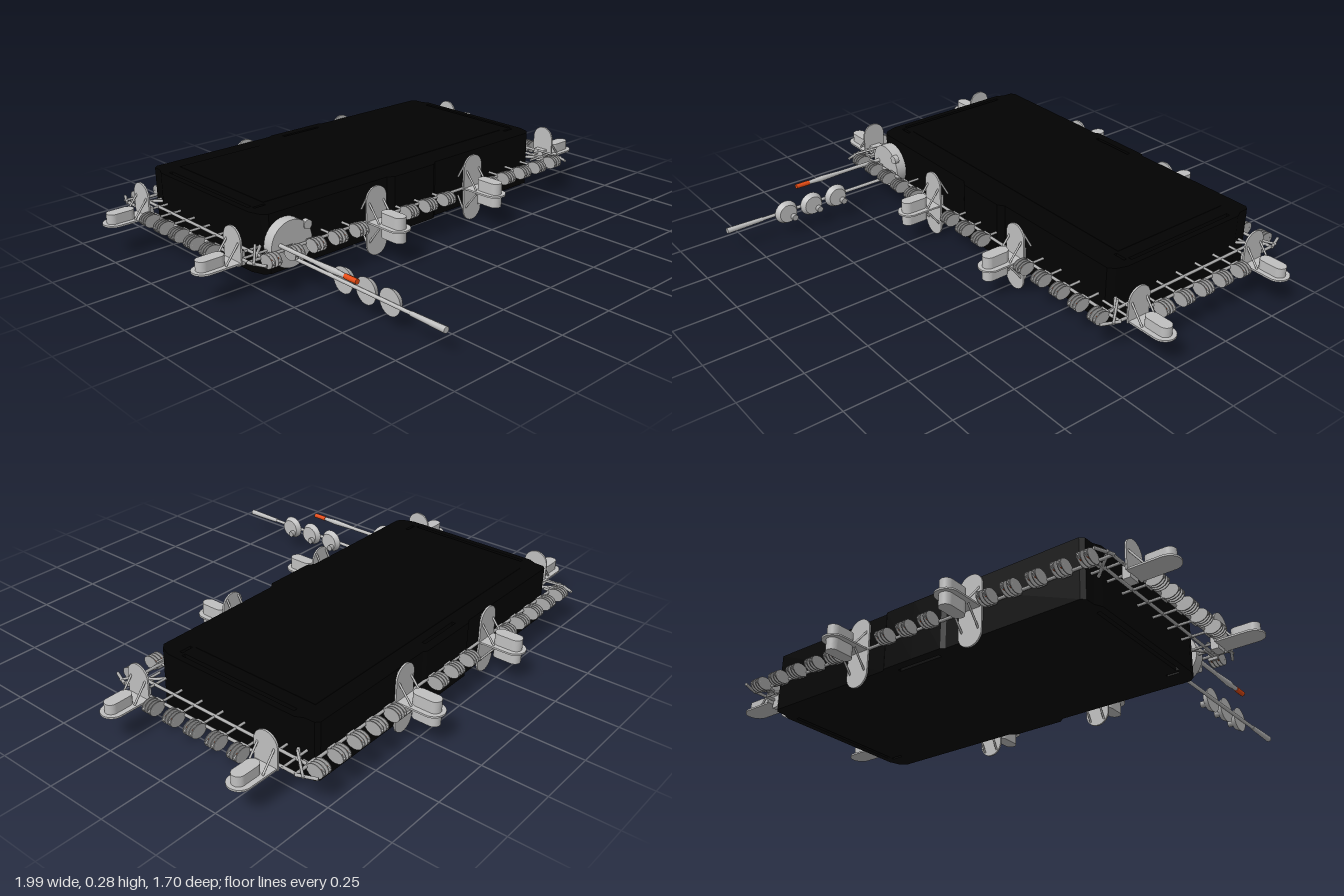
import * as THREE from 'three';

const mat = (name, color) => Object.assign(new THREE.MeshStandardMaterial({ color }), { name });
const black = mat('black shell', 0x020202);
const light = mat('light grey metal', 0xc0c0c0);
const grey = mat('rail grey', 0xacacac);
const orange = mat('orange', 0xe84c12);

function add(parent, name, geo, material, x = 0, y = 0, z = 0) {
  const m = new THREE.Mesh(geo, material);
  m.name = name;
  m.position.set(x, y, z);
  parent.add(m);
  return m;
}

// Straight bar between two points, optionally tapered
function rod(parent, name, a, b, r, material, r2 = r) {
  const p = new THREE.Vector3(...a), q = new THREE.Vector3(...b);
  const d = q.clone().sub(p);
  const m = add(parent, name, new THREE.CylinderGeometry(r2, r, d.length(), 8), material);
  m.position.copy(p).add(q).multiplyScalar(0.5);
  m.quaternion.setFromUnitVectors(new THREE.Vector3(0, 1, 0), d.normalize());
}

const polygon = (pts) => new THREE.Shape(pts.map(([x, y]) => new THREE.Vector2(x, y)));

// Strip with round ends; the lower end may be square
function strip(w, y0, y1, roundLow, depth) {
  const r = w / 2, s = new THREE.Shape();
  s.absarc(0, y1 - r, r, 0, Math.PI, false);
  if (roundLow) s.absarc(0, y0 + r, r, Math.PI, Math.PI * 2, false);
  else { s.lineTo(-r, y0); s.lineTo(r, y0); }
  return new THREE.ExtrudeGeometry(s, { depth, bevelEnabled: false, curveSegments: 12 });
}

function flatStrip(w, z0, z1, roundLow, depth) {
  return strip(w, z0, z1, roundLow, depth).rotateX(Math.PI / 2);
}

// Thruster pod: upright plate, level plate and raised block; points along local +z
function pod(parent, x, y, z, turn, tall) {
  const g = new THREE.Group();
  g.name = tall ? 'longSidePod' : 'endPod';
  g.position.set(x, y, z);
  g.rotation.y = turn;
  parent.add(g);
  add(g, 'uprightPlate', strip(0.1, tall ? -0.138 : 0, tall ? 0.138 : 0.132, tall, 0.007), light);
  add(g, 'levelPlate', flatStrip(0.09, 0, 0.17, false, 0.007), light, 0, 0.007);
  add(g, 'raisedBlock', flatStrip(0.05, 0.045, 0.155, true, tall ? 0.1 : 0.045), light, 0, tall ? 0.053 : 0.045);
  for (const sx of [-1, 1]) {
    for (const sy of tall ? [-1, 1] : [1]) {
      rod(g, 'gusset', [sx * 0.035, sy * 0.08, 0.003], [sx * 0.035, sy * 0.008, 0.06], 0.004, light);
      if (tall) rod(g, 'backBrace', [sx * 0.03, sy * 0.12, 0], [sx * 0.03, sy * 0.04, -0.045], 0.004, light);
    }
  }
  add(g, 'mountBlock', new THREE.BoxGeometry(0.05, 0.05, 0.03), light, 0, 0.01, -0.012);
}

// Upright oval leaf reaching outward along +z
function leaf() {
  const s = new THREE.Shape();
  s.absellipse(0.034, 0, 0.034, 0.026, 0, Math.PI * 2, false);
  return new THREE.ExtrudeGeometry(s, { depth: 0.003, bevelEnabled: false, curveSegments: 8 }).rotateY(-Math.PI / 2);
}

// Row clip: two pairs of leaves, each pair holding an orange core
function clip(parent, x, z, turn, reach) {
  const g = new THREE.Group();
  g.name = 'clip';
  g.position.set(x, 0.145, z);
  g.rotation.y = turn;
  parent.add(g);
  rod(g, 'crossStrut', [0, 0, -reach], [0, 0, 0.015], 0.005, grey);
  add(g, 'clipBase', new THREE.BoxGeometry(0.036, 0.03, 0.01), grey, 0, 0, 0.004);
  for (const sx of [-0.0135, 0.0135]) {
    add(g, 'clipLeaf', leaf(), grey, sx - 0.005, 0, 0);
    add(g, 'clipLeaf', leaf(), grey, sx + 0.008, 0, 0);
    add(g, 'clipCore', new THREE.BoxGeometry(0.01, 0.018, 0.042), orange, sx, 0, 0.032);
    rod(g, 'clipTip', [sx, 0, 0.053], [sx, 0, 0.07], 0.009, grey, 0.004);
  }
}

export function createModel() {
  const model = new THREE.Group();
  model.name = 'equipmentPallet';

  // Main shell: slab with centre tabs and through slots
  const half = [[0.13, 0.045], [0.69, 0.045], [0.712, 0.025], [0.727, -0.02], [0.727, -0.59], [0.712, -0.62],
    [0.71, -0.66], [0.695, -0.673], [0.145, -0.673], [0.13, -0.683], [0, -0.683]];
  const right = [[0, 0.063], [0.105, 0.063], ...half];
  const left = right.slice(1, -1).reverse().map(([x, z]) => [-x, z]);
  const outline = polygon([...right, ...left]);
  const slot = (x0, x1, z0, z1) => outline.holes.push(polygon([[x0, z0], [x1, z0], [x1, z1], [x0, z1]]));
  slot(-0.703, -0.688, -0.57, -0.06);
  slot(0.688, 0.703, -0.57, -0.06);
  slot(-0.69, -0.64, -0.048, -0.036);
  slot(0.64, 0.69, -0.048, -0.036);
  slot(-0.095, 0.095, -0.648, -0.634);
  const shell = new THREE.ExtrudeGeometry(outline, { depth: 0.228, bevelEnabled: false });
  add(model, 'shell', shell.rotateX(Math.PI / 2), black, 0, 0.268);
  add(model, 'topPanel', new THREE.BoxGeometry(1.27, 0.004, 0.54), black, 0, 0.268, -0.33);

  // Perimeter rails
  const y = 0.147, zf = 0.105, zb = -0.682;
  for (const z of [zf, zb]) rod(model, 'longRail', [-0.83, y, z], [0.83, y, z], 0.006, grey);
  for (const s of [-1, 1]) {
    for (const x of [0.765, 0.825]) rod(model, 'endRail', [s * x, y, zb], [s * x, y, zf], 0.006, grey);
    for (const z of [-0.63, -0.56, 0.02, 0.065]) rod(model, 'endCrossbar', [s * 0.7, y, z], [s * 0.83, y, z], 0.005, grey);
    for (const [z, d] of [[zf, 1], [zb, -1]]) {
      rod(model, 'cornerBrace', [s * 0.7, y, z - d * 0.1], [s * 0.8, y, z], 0.006, grey);
      rod(model, 'cornerHorn', [s * 0.83, y, z], [s * 0.80, y, z + d * 0.07], 0.006, grey);
      rod(model, 'cornerHook', [s * 0.76, y + 0.03, z - d * 0.05], [s * 0.825, y, z + d * 0.03], 0.005, grey);
    }
  }

  // Clips along all four sides
  for (const x of [0, 0.1, 0.357, 0.457, 0.557, 0.655, 0.755]) {
    for (const s of x ? [-1, 1] : [1]) {
      clip(model, s * x, zf, 0, 0.065);
      clip(model, s * x, zb, Math.PI, 0.03);
    }
  }
  for (const z of [-0.47, -0.373, -0.273, -0.174, -0.075]) {
    for (const s of [-1, 1]) clip(model, s * 0.825, z, s * Math.PI / 2, 0.11);
  }

  // Pods
  for (const s of [-1, 1]) {
    pod(model, 0.015 + s * 0.262, 0.142, 0.108, 0, true);
    pod(model, s * 0.262, 0.142, -0.68, Math.PI, true);
    for (const z of [-0.565, 0.025]) pod(model, s * 0.827, 0.128, z, s * Math.PI / 2, false);
  }

  // Arm mount disc with knob
  const disc = (r, d, n = 32, r2 = r) => new THREE.CylinderGeometry(r, r2, d, n);
  add(model, 'armMount', disc(0.09, 0.045).rotateX(Math.PI / 2), light, -0.63, 0.155, 0.072);
  add(model, 'mountKnob', disc(0.018, 0.02, 16).rotateX(Math.PI / 2), light, -0.56, 0.21, 0.09);

  // Short arm with orange tip
  const sx = -0.682, sy = 0.163;
  rod(model, 'shortArm', [sx, sy, 0.09], [sx, sy, 0.3], 0.008, light);
  rod(model, 'shortArmGrip', [sx, sy, 0.28], [sx, sy, 0.38], 0.008, light, 0.012);
  rod(model, 'shortArmNeck', [sx, sy, 0.38], [sx, sy, 0.44], 0.012, light, 0.008);
  rod(model, 'shortArmTip', [sx, sy, 0.44], [sx, sy, 0.5], 0.01, orange);

  // Long arm carrying three side discs
  const lx = -0.626, ly = 0.1;
  rod(model, 'longArm', [lx, ly, 0.09], [lx, ly, 0.78], 0.007, light);
  rod(model, 'longArmGrip', [lx, ly, 0.69], [lx, ly, 0.845], 0.009, light, 0.012);
  for (const z of [0.355, 0.47, 0.586]) {
    add(model, 'armDisc', disc(0.05, 0.022, 24, 0.038).rotateZ(Math.PI / 2), light, lx + 0.016, ly, z);
    add(model, 'armDiscHub', disc(0.013, 0.02, 12).rotateZ(Math.PI / 2), grey, lx + 0.035, ly - 0.018, z - 0.02);
  }
  return model;
}
